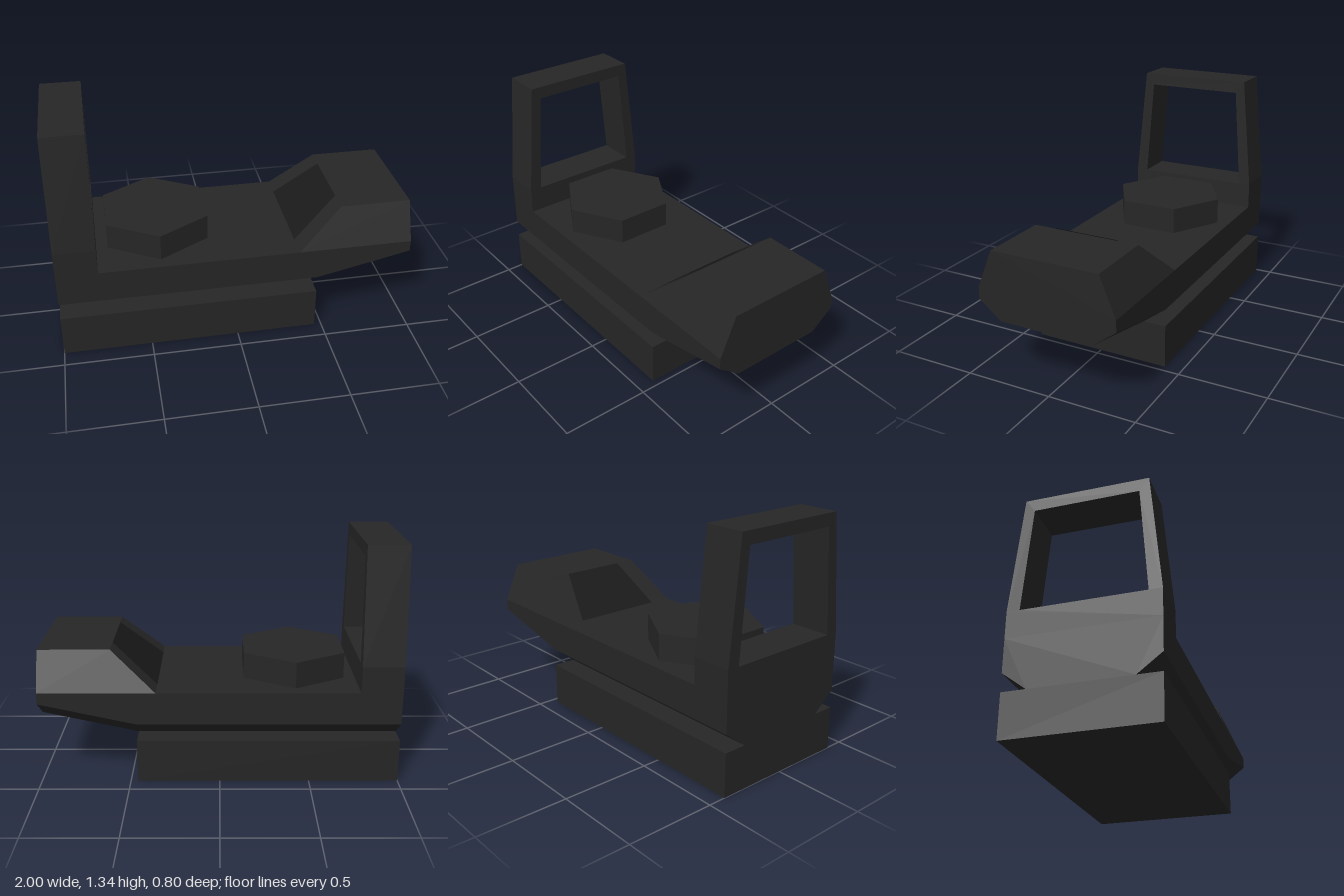
import * as THREE from 'three';
import { ConvexGeometry } from 'three/addons/geometries/ConvexGeometry.js';

const dark = new THREE.MeshStandardMaterial({ color: 0x262626, flatShading: true });
const darker = new THREE.MeshStandardMaterial({ color: 0x1a1a1a, flatShading: true, side: THREE.DoubleSide });

// Convex solid from corner points [x, y, z], mirrored across z = 0
function mirroredHull(corners) {
  return new ConvexGeometry(corners.flatMap(([x, y, z]) => [
    new THREE.Vector3(x, y, z), new THREE.Vector3(x, y, -z)]));
}

export function createModel() {
  const model = new THREE.Group();
  model.name = 'mount';
  const add = (name, geometry, material = dark) => {
    const mesh = new THREE.Mesh(geometry, material);
    mesh.name = name;
    model.add(mesh);
    return mesh;
  };

  // Base block
  add('base', new THREE.BoxGeometry(1.46, 0.245, 0.8)).position.set(-0.27, 0.1225, 0);

  // Deck with chamfered underside, rising at the nose
  add('deck', mirroredHull([
    [-1, 0.245, 0.27], [0.46, 0.245, 0.27], [1, 0.365, 0.27],
    [-1, 0.345, 0.4], [0.46, 0.345, 0.4], [1, 0.465, 0.4],
    [-1, 0.53, 0.4], [1, 0.53, 0.4],
  ]));

  // Raised nose with sloping sides
  add('nose', mirroredHull([
    [0.35, 0.53, 0.4], [1, 0.53, 0.4], [0.6, 0.75, 0.31], [1, 0.75, 0.31],
  ]));

  // Dark panel lying on the nose slope
  const panel = new THREE.BufferGeometry();
  panel.setAttribute('position', new THREE.Float32BufferAttribute([
    0.35, 0.53, -0.27, 0.35, 0.53, 0.27, 0.6, 0.75, 0.19, 0.6, 0.75, -0.19], 3));
  panel.setIndex([0, 1, 2, 0, 2, 3]);
  panel.computeVertexNormals();
  add('slopePanel', panel, darker).position.set(-0.002, 0.002, 0);

  // Hexagonal boss
  add('hexBoss', new THREE.CylinderGeometry(0.328, 0.328, 0.15, 6)).position.set(-0.42, 0.605, 0);

  // Tapered hoop with a sill, drawn in z-y and extruded along x
  const hoop = new THREE.Shape([
    [-0.4, 0.53], [0.4, 0.53], [0.4, 0.68], [0.335, 1.335], [-0.335, 1.335], [-0.4, 0.68],
  ].map(p => new THREE.Vector2(...p)));
  hoop.holes.push(new THREE.Path([
    [-0.33, 0.68], [-0.283, 1.265], [0.283, 1.265], [0.33, 0.68],
  ].map(p => new THREE.Vector2(...p))));
  const hoopGeometry = new THREE.ExtrudeGeometry(hoop, { depth: 0.23, bevelEnabled: false });
  hoopGeometry.rotateY(Math.PI / 2);
  add('hoop', hoopGeometry).position.x = -1;

  return model;
}
